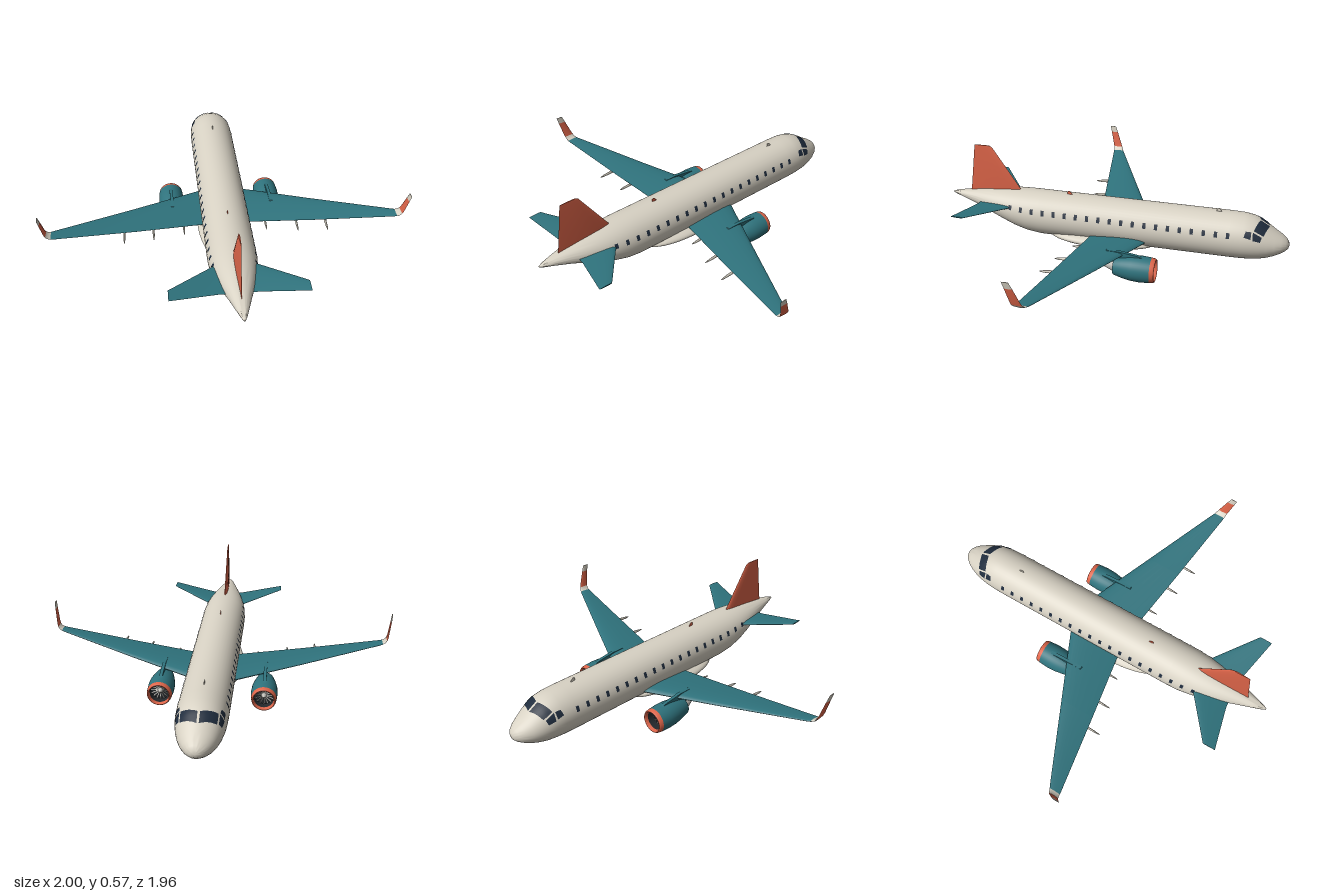
import * as THREE from 'three';
import { toCreasedNormals } from 'three/addons/utils/BufferGeometryUtils.js';

const V = (x, y, z) => new THREE.Vector3(x, y, z);
const mat = (color, side = THREE.FrontSide) => new THREE.MeshStandardMaterial({ color, side });
const CREAM = mat(0xd8d2c4), TEAL = mat(0x2f737d), CORAL = mat(0xde6549), GLASS = mat(0x1f2c3d, THREE.DoubleSide);
const DARK = mat(0x252a2e, THREE.DoubleSide), GREY = mat(0xbab8b2);

// Skin between closed rings of points, with flat end caps
function loft(rings, crease = 0.8) {
  const n = rings[0].length, pos = [], idx = [];
  rings.forEach(r => r.forEach(p => pos.push(p.x, p.y, p.z)));
  for (let i = 0; i < rings.length - 1; i++) for (let j = 0; j < n; j++) {
    const a = i * n + j, b = i * n + (j + 1) % n;
    idx.push(a, b, b + n, a, b + n, a + n);
  }
  const last = (rings.length - 1) * n;
  for (let j = 1; j < n - 1; j++) idx.push(0, j + 1, j, last, last + j, last + j + 1);
  const g = new THREE.BufferGeometry();
  g.setAttribute('position', new THREE.Float32BufferAttribute(pos, 3));
  g.setIndex(idx);
  return toCreasedNormals(g, crease);
}

// Copy on the other side of x = 0 with its winding put right
function mirrored(geo) {
  const g = (geo.index ? geo.toNonIndexed() : geo.clone()).scale(-1, 1, 1);
  for (const a of Object.values(g.attributes)) {
    const s = a.itemSize;
    for (let t = 0; t < a.count; t += 3) for (let k = 0; k < s; k++) {
      const u = (t + 1) * s + k, w = (t + 2) * s + k;
      [a.array[u], a.array[w]] = [a.array[w], a.array[u]];
    }
  }
  return g;
}

// Airfoil ring: x, y, leading z, trailing z, thickness, cant in degrees
function foil([x, y, le, te, t, cant = 0]) {
  const K = 10, ring = [], c = THREE.MathUtils.degToRad(cant);
  const at = (k, s) => {
    const u = (1 - Math.cos(Math.PI * k / K)) / 2;
    const h = s * 5 * t * (0.2969 * Math.sqrt(u) - 0.126 * u - 0.3516 * u * u + 0.2843 * u ** 3 - 0.1015 * u ** 4);
    return V(x - Math.sin(c) * h, y + Math.cos(c) * h, le + (te - le) * u);
  };
  for (let k = 0; k <= K; k++) ring.push(at(k, 1));
  for (let k = K; k > 0; k--) ring.push(at(k, -1));
  return ring;
}
const surface = rows => loft(rows.map(foil));

// Fuselage stations: z, top, bottom, half width
const BODY = [
  [-0.98, 0.174, 0.166, 0.004], [-0.975, 0.19, 0.15, 0.024], [-0.96, 0.207, 0.135, 0.046], [-0.935, 0.225, 0.12, 0.067],
  [-0.9, 0.246, 0.103, 0.087], [-0.86, 0.274, 0.088, 0.103], [-0.82, 0.299, 0.078, 0.115], [-0.78, 0.316, 0.073, 0.123],
  [-0.73, 0.324, 0.07, 0.128], [-0.66, 0.326, 0.069, 0.13], [0.42, 0.326, 0.069, 0.13], [0.5, 0.325, 0.08, 0.129],
  [0.58, 0.322, 0.105, 0.121], [0.66, 0.316, 0.138, 0.104], [0.74, 0.307, 0.172, 0.082], [0.82, 0.295, 0.205, 0.057],
  [0.9, 0.281, 0.232, 0.033], [0.95, 0.272, 0.246, 0.017], [0.978, 0.264, 0.255, 0.005]];
function bodyPoint(z, a, lift = 0) {
  let i = 0;
  while (i < BODY.length - 2 && z > BODY[i + 1][0]) i++;
  const f = (z - BODY[i][0]) / (BODY[i + 1][0] - BODY[i][0]);
  const [, top, bot, hw] = BODY[i].map((v, k) => v + (BODY[i + 1][k] - v) * f);
  return V(Math.cos(a) * (hw + lift), (top + bot) / 2 + Math.sin(a) * ((top - bot) / 2 + lift), z);
}

// Pane lying on the fuselage, from four corners [z, angle in degrees]
function pane(corners, n = 6) {
  const g = new THREE.PlaneGeometry(1, 1, n, n), p = g.attributes.position;
  const [A, B, C, D] = corners;
  for (let i = 0; i < p.count; i++) {
    const u = p.getX(i) + 0.5, v = p.getY(i) + 0.5;
    const m = k => (A[k] * (1 - u) + B[k] * u) * (1 - v) + (D[k] * (1 - u) + C[k] * u) * v;
    p.setXYZ(i, ...bodyPoint(m(0), THREE.MathUtils.degToRad(m(1)), 0.0018));
  }
  g.computeVertexNormals();
  return g;
}

// Turned part about the z axis, points as [z, radius] listed from rear to front
const turned = (pts, x, y) =>
  new THREE.LatheGeometry(pts.map(([z, r]) => new THREE.Vector2(r, -z)), 40).rotateX(-Math.PI / 2).translate(x, y, 0);

export function createModel() {
  const model = new THREE.Group();
  const add = (name, geo, material, parent = model) => {
    const m = new THREE.Mesh(geo, material);
    m.name = name;
    parent.add(m);
  };
  const pair = (name, geo, material) => {
    const g = new THREE.Group();
    g.name = name + 'Pair';
    add(name + 'Left', geo, material, g);
    add(name + 'Right', mirrored(geo), material, g);
    model.add(g);
  };

  // Fuselage and belly fairing
  const ring = z => Array.from({ length: 48 }, (_, j) => bodyPoint(z, j / 48 * Math.PI * 2));
  add('fuselage', loft(BODY.map(r => ring(r[0])), 1.1), CREAM);
  const belly = new THREE.SphereGeometry(1, 40, 24), bp = belly.attributes.position;
  for (let i = 0; i < bp.count; i++) {
    const z = bp.getZ(i), k = 1 / Math.pow(1 - z * z + 1e-4, 0.12);
    bp.setXYZ(i, bp.getX(i) * Math.min(k, 1.5) * 0.15, 0.098 + bp.getY(i) * Math.min(k, 1.5) * 0.043, 0.06 + z * 0.32);
  }
  belly.computeVertexNormals();
  add('bellyFairing', belly, CREAM);

  // Cabin and cockpit windows
  for (let i = 0; i < 20; i++) {
    const z = 0.585 - i * 0.0652;
    pair('cabinWindow', pane([[z - 0.009, 15], [z + 0.009, 15], [z + 0.009, 29], [z - 0.009, 29]], 2), GLASS);
  }
  pair('windscreen', pane([[-0.868, 87], [-0.84, 38], [-0.787, 43], [-0.815, 87]]), GLASS);
  pair('cockpitSideWindow', pane([[-0.832, 33], [-0.825, 18], [-0.785, 18], [-0.783, 39]]), GLASS);
  pair('cockpitRearWindow', pane([[-0.775, 39], [-0.775, 20], [-0.738, 23], [-0.745, 38]]), GLASS);

  // Main wings and winglets
  pair('wing', surface([[0, 0.128, -0.25, 0.095, 0.045], [0.13, 0.136, -0.195, 0.115, 0.038],
    [0.5, 0.165, -0.028, 0.173, 0.022], [0.93, 0.205, 0.167, 0.238, 0.01], [0.95, 0.208, 0.177, 0.241, 0.009, 12]]), TEAL);
  pair('wingletBase', surface([[0.95, 0.208, 0.177, 0.241, 0.009, 12], [0.966, 0.215, 0.184, 0.243, 0.008, 40],
    [0.975, 0.228, 0.19, 0.246, 0.007, 68]]), CREAM);
  pair('winglet', surface([[0.975, 0.228, 0.19, 0.246, 0.007, 68], [0.98, 0.245, 0.197, 0.25, 0.006, 80],
    [0.993, 0.325, 0.226, 0.268, 0.005, 82]]), CORAL);
  pair('wingletTip', surface([[0.993, 0.325, 0.226, 0.268, 0.005, 82], [0.999, 0.363, 0.241, 0.277, 0.003, 82]]), CREAM);

  // Flap track fairings under the trailing edge
  for (const [x, y, end] of [[0.23, 0.132, 0.182], [0.4, 0.146, 0.228], [0.56, 0.16, 0.257]]) {
    const g = new THREE.SphereGeometry(1, 12, 12).scale(0.006, 0.009, 0.075).rotateX(0.08).translate(x, y, end - 0.075);
    pair('flapTrackFairing', g, CREAM);
  }

  // Tailplane and fin
  pair('tailplane', surface([[0, 0.24, 0.52, 0.78, 0.022], [0.1, 0.25, 0.58, 0.787, 0.018], [0.345, 0.284, 0.768, 0.84, 0.007]]), TEAL);
  add('fin', surface([[0, 0.27, 0.52, 0.868, 0.02, 90], [0, 0.33, 0.56, 0.858, 0.019, 90],
    [0, 0.565, 0.715, 0.823, 0.009, 90], [0, 0.575, 0.73, 0.82, 0.006, 90]]), CORAL);

  // Engines: cowling, intake lip, fan, core and pylon
  const EX = 0.285, EY = 0.0725;
  pair('engineCowling', turned([[-0.16, 0.044], [-0.075, 0.046], [-0.072, 0.049], [-0.12, 0.061], [-0.17, 0.07],
    [-0.22, 0.0725], [-0.275, 0.069]], EX, EY), TEAL);
  pair('intakeLip', turned([[-0.275, 0.069], [-0.292, 0.066], [-0.299, 0.062], [-0.3, 0.059], [-0.296, 0.055],
    [-0.28, 0.053]], EX, EY), CORAL);
  pair('intakeDuct', turned([[-0.28, 0.053], [-0.235, 0.056]], EX, EY), DARK);
  pair('fanDisc', turned([[-0.235, 0.058], [-0.236, 0]], EX, EY), DARK);
  pair('rearDuctWall', turned([[-0.13, 0], [-0.129, 0.047]], EX, EY), DARK);
  pair('fanSpinner', turned([[-0.236, 0.017], [-0.25, 0.013], [-0.262, 0.006], [-0.267, 0]], EX, EY), GREY);
  pair('exhaustCore', turned([[-0.005, 0], [-0.01, 0.007], [-0.04, 0.02], [-0.07, 0.031], [-0.13, 0.037]], EX, EY), GREY);
  const blade = new THREE.BoxGeometry(0.006, 0.04, 0.002).rotateY(0.6).translate(0, 0.034, -0.241);
  for (let i = 0; i < 16; i++)
    pair('fanBlade', blade.clone().rotateZ(i * Math.PI / 8).translate(EX, EY, 0), GREY);
  const side = new THREE.Shape([[-0.25, 0.138], [-0.2, 0.152], [-0.1, 0.166], [-0.03, 0.166], [0.0, 0.142],
    [-0.05, 0.1], [-0.14, 0.11], [-0.22, 0.135]].map(([z, y]) => new THREE.Vector2(-z, y)));
  const pylon = new THREE.ExtrudeGeometry(side, { depth: 0.018, bevelEnabled: false });
  pair('enginePylon', pylon.translate(0, 0, -0.009).rotateY(Math.PI / 2).translate(EX, 0, 0), TEAL);

  // Blade aerials on the roof
  for (const z of [-0.59, 0.26])
    add('aerial', surface([[0, 0.32, z - 0.02, z + 0.016, 0.006, 90], [0, 0.345, z, z + 0.012, 0.003, 90]]), z < 0 ? CREAM : CORAL);

  return model;
}
